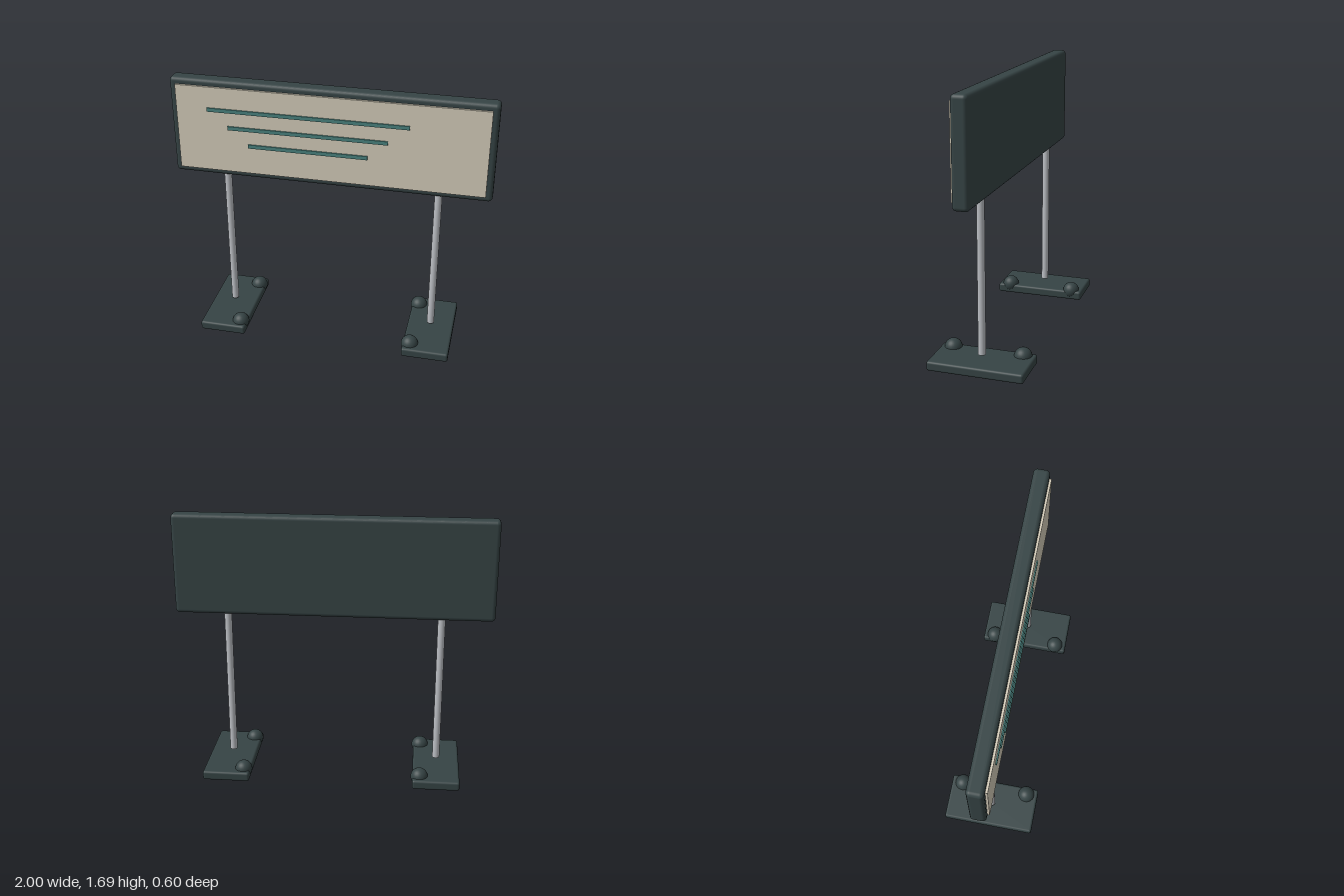
import * as THREE from 'three';
import { RoundedBoxGeometry } from 'three/addons/geometries/RoundedBoxGeometry.js';

export function createModel() {
  const mat = (name, color) => {
    const m = new THREE.MeshStandardMaterial({ color });
    m.name = name;
    return m;
  };
  const dark = mat('darkSlate', 0x364445);
  const cream = mat('cream', 0xd6cebb);
  const teal = mat('teal', 0x4a8480);
  const steel = mat('steel', 0xbec1c6);

  const model = new THREE.Group();
  model.name = 'signStand';
  const add = (parent, name, geometry, material, x, y, z) => {
    const mesh = new THREE.Mesh(geometry, material);
    mesh.name = name;
    mesh.position.set(x, y, z);
    parent.add(mesh);
  };

  // Sign board with its face panel
  add(model, 'board', new RoundedBoxGeometry(2, 0.635, 0.1, 4, 0.025), dark, 0, 1.368, 0);
  add(model, 'facePanel', new THREE.BoxGeometry(1.92, 0.556, 0.015), cream, 0, 1.368, 0.0565);

  // Stripes: left end, right end, height
  for (const [x0, x1, y] of [[-0.763, 0.487, 1.5], [-0.636, 0.36, 1.388], [-0.51, 0.238, 1.277]]) {
    add(model, 'stripe', new THREE.BoxGeometry(x1 - x0, 0.024, 0.009), teal, (x0 + x1) / 2, y, 0.0675);
  }

  // Mirrored legs: foot plate, post and two knobs on the inner edge
  for (const side of [-1, 1]) {
    const leg = new THREE.Group();
    leg.name = side > 0 ? 'leftLeg' : 'rightLeg';
    add(leg, 'footPlate', new RoundedBoxGeometry(0.3, 0.06, 0.6, 4, 0.015), dark, side * 0.673, 0.03, 0);
    add(leg, 'post', new THREE.CylinderGeometry(0.0235, 0.0235, 0.985, 24), steel, side * 0.673, 0.5775, 0);
    for (const z of [-0.222, 0.222]) {
      add(leg, 'knob', new THREE.SphereGeometry(0.055, 24, 16), dark, side * 0.567, 0.056, z);
    }
    model.add(leg);
  }
  return model;
}
